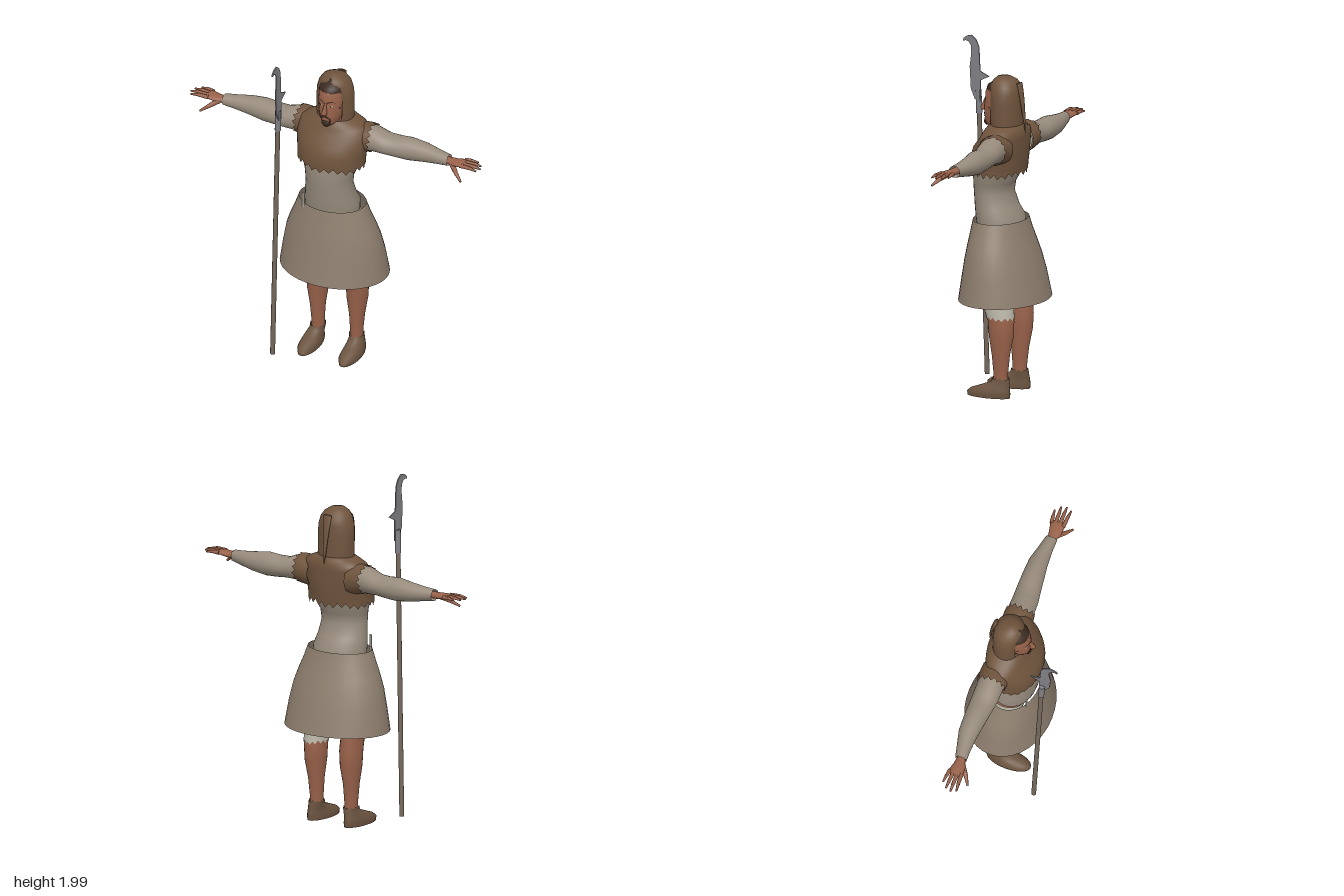
import * as THREE from 'three';

const mat = (name, color, side = THREE.FrontSide) => {
  const m = new THREE.MeshStandardMaterial({ color, side });
  m.name = name;
  return m;
};

// Skins rings along an axis. Section: [t, c1, c2, r1, r2, jag, gap]
// axis y: t = y, c = (x, z); axis x: t = x, c = (z, y); gap opens the ring at its front
function loft(sections, { axis = 'y', seg = 24 } = {}) {
  const pos = [], idx = [];
  const arc = sections.some((s) => s[6] !== undefined);
  const cols = arc ? seg + 1 : seg;
  for (const [t, c1, c2, r1, r2, jag = 0, gap = 0] of sections) {
    for (let j = 0; j < cols; j++) {
      const a = arc
        ? Math.PI / 2 + gap + (j / seg) * (Math.PI * 2 - 2 * gap)
        : (j / seg) * Math.PI * 2;
      const tt = t + (j % 2 ? jag : -jag) * (0.7 + 0.3 * Math.sin(j * 2.3));
      const u = c1 + r1 * Math.cos(a), v = c2 + r2 * Math.sin(a);
      if (axis === 'y') pos.push(u, tt, v);
      else pos.push(tt, v, u);
    }
  }
  for (let i = 0; i < sections.length - 1; i++) {
    for (let j = 0; j < seg; j++) {
      const k = (j + 1) % cols;
      const a = i * cols + j, b = i * cols + k, c = a + cols, d = b + cols;
      idx.push(a, c, b, b, c, d);
    }
  }
  const g = new THREE.BufferGeometry();
  g.setAttribute('position', new THREE.Float32BufferAttribute(pos, 3));
  g.setIndex(idx);
  g.computeVertexNormals();
  return g;
}

// Tapered round bar between two points
function bar(p, q, r0, r1, seg = 8) {
  const a = new THREE.Vector3(...p), b = new THREE.Vector3(...q);
  const d = b.clone().sub(a);
  const g = new THREE.CylinderGeometry(r1, r0, d.length(), seg);
  g.applyQuaternion(new THREE.Quaternion().setFromUnitVectors(new THREE.Vector3(0, 1, 0), d.normalize()));
  a.add(b).multiplyScalar(0.5);
  return g.translate(a.x, a.y, a.z);
}

const HEAD = [
  [1.48, 0, -0.07, 0.055, 0.055], [1.54, 0, -0.06, 0.055, 0.06], [1.555, 0, -0.015, 0.042, 0.066],
  [1.58, 0, -0.018, 0.055, 0.08], [1.62, 0, -0.025, 0.067, 0.09], [1.66, 0, -0.03, 0.073, 0.094],
  [1.70, 0, -0.035, 0.077, 0.094], [1.75, 0, -0.04, 0.077, 0.096], [1.79, 0, -0.045, 0.068, 0.085],
  [1.815, 0, -0.05, 0.04, 0.05], [1.82, 0, -0.05, 0, 0],
];

// Depth of the face surface at a point
function faceZ(x, y) {
  const i = HEAD.findIndex((s) => s[0] > y);
  const a = HEAD[i - 1], b = HEAD[i], k = (y - a[0]) / (b[0] - a[0]);
  const mix = (n) => a[n] + (b[n] - a[n]) * k;
  return mix(2) + mix(4) * Math.sqrt(Math.max(0, 1 - (x / mix(3)) ** 2));
}

// Thin painted patch wrapped on the face
function patch(points) {
  const g = new THREE.ShapeGeometry(new THREE.Shape(points.map((p) => new THREE.Vector2(...p))));
  const p = g.attributes.position;
  for (let i = 0; i < p.count; i++) p.setZ(i, faceZ(p.getX(i), p.getY(i)) + 0.003);
  g.computeVertexNormals();
  return g;
}

export function createModel() {
  const D = THREE.DoubleSide;
  const skin = mat('skin', 0x99624a, D), hair = mat('hair', 0x3b2a20, D);
  const cowlCloth = mat('cowlCloth', 0x6f543d, D), lining = mat('hoodLining', 0x4e3a2a, D);
  const linen = mat('tunicLinen', 0x978b7c, D), skirtCloth = mat('skirtCloth', 0x8e7f6f, D);
  const leather = mat('shoeLeather', 0x6c5440, D), bandage = mat('bandage', 0xbdb8aa, D);
  const wood = mat('poleWood', 0x75695c), steel = mat('steel', 0x808084, D);

  const model = new THREE.Group();
  model.name = 'hoodedGuard';
  const add = (name, geo, material, parent = model) => {
    const m = new THREE.Mesh(geo, material);
    m.name = name;
    parent.add(m);
    return m;
  };

  // Skirt, tunic and mantle
  add('skirt', loft([
    [0.56, 0, -0.06, 0.325, 0.25], [0.70, 0, -0.055, 0.304, 0.223], [0.80, 0, -0.048, 0.284, 0.201],
    [0.88, 0, -0.042, 0.256, 0.181], [0.95, 0, -0.037, 0.226, 0.163], [1.02, 0, -0.034, 0.2, 0.148],
  ], { seg: 36 }), skirtCloth);
  add('tunic', loft([
    [0.97, 0, -0.035, 0.16, 0.13], [1.03, 0, -0.033, 0.163, 0.137], [1.09, 0, -0.01, 0.151, 0.12],
    [1.17, 0, 0.008, 0.141, 0.108], [1.23, 0, 0.005, 0.146, 0.115], [1.30, 0, -0.015, 0.172, 0.133],
    [1.42, 0, -0.03, 0.185, 0.13],
  ], { seg: 32 }), linen);
  add('mantle', loft([
    [1.295, 0, -0.022, 0.203, 0.152, 0.018], [1.33, 0, -0.022, 0.203, 0.154], [1.38, 0, -0.027, 0.207, 0.155],
    [1.44, 0, -0.038, 0.215, 0.146], [1.50, 0, -0.062, 0.218, 0.122], [1.53, 0, -0.068, 0.2, 0.115],
    [1.555, 0, -0.07, 0.145, 0.103], [1.57, 0, -0.07, 0.108, 0.09],
  ], { seg: 48 }), cowlCloth);
  add('waistPin', new THREE.BoxGeometry(0.012, 0.09, 0.008).translate(-0.125, 1.04, 0.085), bandage);

  // Head and facial details
  add('head', loft(HEAD, { seg: 32 }), skin);
  add('nose', loft([
    [1.632, 0, 0.066, 0, 0], [1.638, 0, 0.072, 0.016, 0.018], [1.648, 0, 0.073, 0.015, 0.022],
    [1.675, 0, 0.062, 0.009, 0.02], [1.71, 0, 0.055, 0.007, 0.01],
  ], { seg: 10 }), skin);
  add('hair', loft([
    [1.765, 0, -0.045, 0.079, 0.095], [1.79, 0, -0.047, 0.073, 0.089],
    [1.815, 0, -0.052, 0.045, 0.056], [1.825, 0, -0.052, 0, 0],
  ]), hair);
  add('goatee', new THREE.SphereGeometry(1, 14, 10).scale(0.027, 0.024, 0.016).translate(0, 1.573, 0.052), hair);
  add('lips', patch([[-0.02, 1.605], [0, 1.598], [0.02, 1.605], [0, 1.612]]), skin);
  for (const s of [-1, 1]) {
    const face = (pts) => patch(pts.map(([x, y]) => [x * s, y]));
    add('moustache', face([[0, 1.626], [0.018, 1.622], [0.033, 1.603], [0.03, 1.578], [0.024, 1.578], [0.024, 1.602], [0, 1.614]]), hair);
    add('sideburn', face([[0.066, 1.76], [0.0745, 1.76], [0.069, 1.66], [0.065, 1.66]]), hair);
    add('eyebrow', face([[0.012, 1.703], [0.03, 1.714], [0.056, 1.706], [0.03, 1.721], [0.012, 1.712]]), hair);
    add('eyeWhite', face([[0.018, 1.688], [0.032, 1.682], [0.046, 1.689], [0.032, 1.696]]), bandage);
    const iris = add('iris', new THREE.CircleGeometry(0.006, 10), hair);
    iris.position.set(0.032 * s, 1.689, faceZ(0.032, 1.689) + 0.005);
    iris.rotation.y = 0.3 * s;
  }

  // Hood with its darker lining and hanging tail
  const hood = (k, d) => loft([
    [1.55, 0, -0.07, 0.11 * k, 0.088 * k, 0, 0.6], [1.60, 0, -0.07, 0.112 * k, 0.088 * k, 0, 0.72],
    [1.70, 0, -0.07, 0.112 * k, 0.088 * k, 0, 0.74], [1.75, 0, -0.068, 0.107 * k, 0.088 * k, 0, 0.7],
    [1.79 - d, 0, -0.066, 0.094 * k, 0.086 * k, 0, 0.5], [1.82 - d, 0, -0.062, 0.074 * k, 0.07 * k, 0, 0.12],
    [1.84 - d, 0, -0.056, 0.043 * k, 0.042 * k, 0, 0], [1.846 - d, 0, -0.054, 0, 0, 0, 0],
  ], { seg: 32 });
  add('hood', hood(1, 0), cowlCloth);
  add('hoodLining', hood(0.95, 0.006), lining);
  add('hoodTail', loft([
    [1.52, 0, -0.186, 0, 0], [1.60, 0, -0.18, 0.011, 0.007], [1.72, 0, -0.166, 0.021, 0.011],
    [1.81, 0, -0.15, 0.028, 0.013], [1.812, 0, -0.15, 0, 0],
  ], { seg: 10 }), cowlCloth);

  // Arms and legs, mirrored
  const legRings = [
    [0.08, 0.122, -0.092, 0.037, 0.042], [0.14, 0.122, -0.092, 0.036, 0.042], [0.25, 0.124, -0.093, 0.043, 0.053],
    [0.36, 0.125, -0.096, 0.059, 0.072], [0.45, 0.125, -0.095, 0.062, 0.078], [0.55, 0.125, -0.077, 0.056, 0.088],
    [0.70, 0.115, -0.07, 0.072, 0.092], [0.92, 0.09, -0.05, 0.085, 0.1],
  ];
  for (const s of [1, -1]) {
    const side = new THREE.Group();
    side.name = s > 0 ? 'leftLimbs' : 'rightLimbs';
    side.scale.x = s;
    model.add(side);
    add('sleeve', loft([
      [0.14, -0.085, 1.45, 0.075, 0.08], [0.24, -0.088, 1.459, 0.076, 0.076], [0.32, -0.09, 1.445, 0.074, 0.06],
      [0.39, -0.096, 1.442, 0.069, 0.063], [0.46, -0.1, 1.444, 0.064, 0.068], [0.55, -0.104, 1.444, 0.056, 0.056],
      [0.64, -0.095, 1.445, 0.042, 0.042], [0.71, -0.086, 1.447, 0.034, 0.033, 0.003],
    ], { axis: 'x' }), linen, side);
    add('shoulderEdge', loft([
      [0.13, -0.083, 1.45, 0.09, 0.088], [0.2, -0.088, 1.457, 0.087, 0.086], [0.232, -0.088, 1.46, 0.084, 0.083, 0.015],
    ], { axis: 'x', seg: 28 }), cowlCloth, side);

    // Hand
    add('palm', loft([
      [0.66, -0.088, 1.447, 0.025, 0.022], [0.71, -0.084, 1.447, 0.025, 0.019], [0.75, -0.08, 1.448, 0.036, 0.018],
      [0.80, -0.083, 1.454, 0.044, 0.013], [0.815, -0.083, 1.455, 0.04, 0.008], [0.817, -0.083, 1.455, 0, 0],
    ], { axis: 'x', seg: 16 }), skin, side);
    [[-0.119, 0.875, -0.13], [-0.096, 0.905, -0.102], [-0.072, 0.915, -0.071], [-0.049, 0.902, -0.04]].forEach(([z, x, z1]) => {
      add('finger', bar([0.795, 1.455, z], [x - 0.04, 1.458, (z + z1) / 2], 0.012, 0.01), skin, side);
      add('fingertip', bar([x - 0.045, 1.458, (z + z1) / 2], [x, 1.452, z1], 0.01, 0.005), skin, side);
    });
    add('thumb', bar([0.735, 1.442, -0.068], [0.785, 1.41, -0.025], 0.018, 0.012), skin, side);
    add('thumbTip', bar([0.782, 1.412, -0.028], [0.825, 1.383, 0.0], 0.012, 0.006), skin, side);

    // Leg, undergarment and shoe
    add('leg', loft(legRings), skin, side);
    add('undergarment', loft([
      [0.66, 0.117, -0.07, 0.074, 0.095, 0.01], [0.72, 0.11, -0.068, 0.079, 0.098], [0.95, 0.075, -0.045, 0.085, 0.105],
    ]), bandage, side);
    add('shoe', loft([
      [0.006, 0.13, -0.02, 0.053, 0.131], [0.03, 0.13, -0.02, 0.057, 0.133], [0.05, 0.13, -0.032, 0.052, 0.119],
      [0.072, 0.128, -0.062, 0.046, 0.086], [0.095, 0.124, -0.089, 0.042, 0.056], [0.118, 0.122, -0.093, 0.043, 0.049, 0.008],
    ]), leather, side);
    add('sole', loft([[0.006, 0.13, -0.02, 0, 0], [0.006, 0.13, -0.02, 0.053, 0.131]]), leather, side);
  }
  add('kneeBandage', loft([
    [0.468, 0.125, -0.092, 0.065, 0.083, 0.012], [0.51, 0.125, -0.084, 0.064, 0.088],
    [0.55, 0.125, -0.077, 0.061, 0.093], [0.575, 0.124, -0.076, 0.063, 0.093, 0.004],
  ], { seg: 28 }), bandage);

  // Polearm
  const polearm = new THREE.Group();
  polearm.name = 'polearm';
  model.add(polearm);
  add('pole', bar([-0.27, 0.025, 0.185], [-0.222, 1.6, 0.213], 0.014, 0.014, 10), wood, polearm);
  add('socket', bar([-0.223, 1.55, 0.212], [-0.219, 1.685, 0.215], 0.018, 0.017, 10), steel, polearm);
  const outline = [
    [0.307, 1.962], [0.304, 1.978], [0.285, 1.993], [0.254, 2.0], [0.225, 1.975], [0.207, 1.935], [0.2, 1.796],
    [0.143, 1.77], [0.196, 1.743], [0.196, 1.62], [0.233, 1.63], [0.258, 1.69], [0.265, 1.817], [0.255, 1.897],
    [0.258, 1.94], [0.273, 1.962], [0.29, 1.966],
  ].map((p) => new THREE.Vector2(...p));
  const blade = new THREE.ExtrudeGeometry(new THREE.Shape(outline), { depth: 0.007, bevelEnabled: false });
  add('hookedBlade', blade.rotateY(-Math.PI / 2).translate(-0.208, 0, 0), steel, polearm);

  return model;
}
